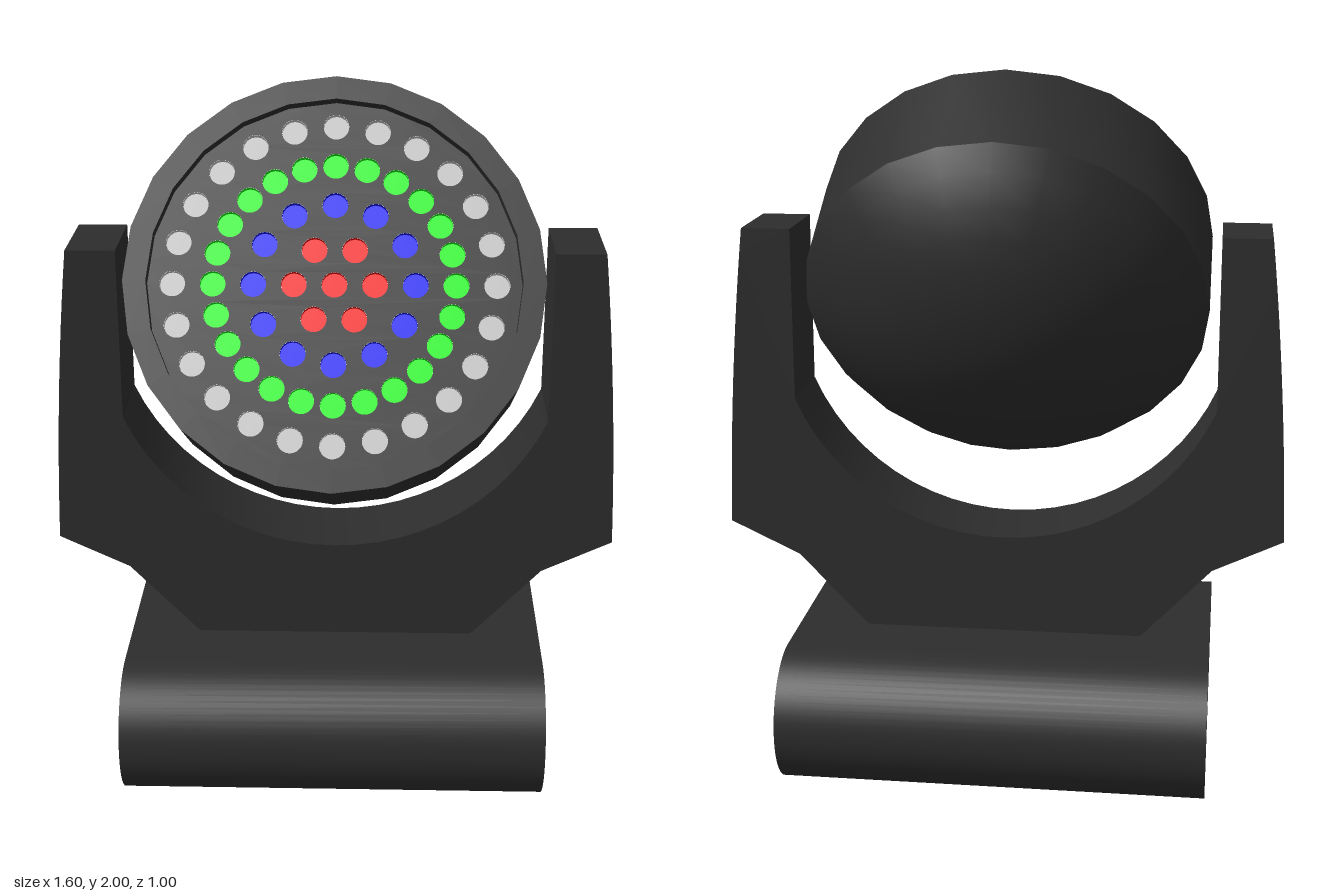
import * as THREE from 'three';
import { toCreasedNormals } from 'three/addons/utils/BufferGeometryUtils.js';

const paint = (color) => new THREE.MeshStandardMaterial({ color });

function addMesh(parent, name, geometry, material) {
  const mesh = new THREE.Mesh(geometry, material);
  mesh.name = name;
  parent.add(mesh);
  return mesh;
}

function lathe(points, segments) {
  const profile = points.map(([x, y]) => new THREE.Vector2(x, y));
  return toCreasedNormals(new THREE.LatheGeometry(profile, segments), 0.5);
}

function extrude(shape, depth, curveSegments) {
  const geometry = new THREE.ExtrudeGeometry(shape, { depth, curveSegments, bevelEnabled: false });
  geometry.translate(0, 0, -depth / 2);
  return toCreasedNormals(geometry, 0.4);
}

// Stadium section running along x
function baseGeometry() {
  const r = 0.195, flat = 0.305;
  const shape = new THREE.Shape();
  shape.absarc(flat, r, r, -Math.PI / 2, Math.PI / 2);
  shape.absarc(-flat, r, r, Math.PI / 2, Math.PI * 1.5);
  shape.closePath();
  return extrude(shape, 1.2, 16).rotateY(Math.PI / 2);
}

// Two arms joined by a round cradle
function yokeGeometry() {
  const R = 0.653, cy = 1.328;
  const a = Math.atan2(1.07 - cy, 0.6);
  const shape = new THREE.Shape();
  shape.moveTo(-0.4, 0.39);
  shape.lineTo(0.4, 0.39);
  shape.lineTo(0.6, 0.6);
  shape.lineTo(0.8, 0.695);
  shape.quadraticCurveTo(0.787, 1.13, 0.738, 1.56);
  shape.lineTo(0.6, 1.56);
  shape.lineTo(0.6, 1.07);
  shape.absarc(0, cy, R, a, -Math.PI - a, true);
  shape.lineTo(-0.6, 1.56);
  shape.lineTo(-0.738, 1.56);
  shape.quadraticCurveTo(-0.787, 1.13, -0.8, 0.695);
  shape.lineTo(-0.6, 0.6);
  shape.closePath();
  return extrude(shape, 0.255, 12);
}

export function createModel() {
  const model = new THREE.Group();
  model.name = 'movingHeadLight';
  const dark = paint(0x2d2d2d);

  addMesh(model, 'base', baseGeometry(), dark);
  addMesh(model, 'yoke', yokeGeometry(), dark);

  // Head is built facing +y, then tilted forward and up
  const head = new THREE.Group();
  head.name = 'head';
  head.position.set(0, 1.505, 0.215);
  head.rotation.x = Math.PI / 3;
  model.add(head);

  // Domed back, drum and recessed rim
  const radius = 0.571, depth = 0.323, domeR = 0.7, recess = 0.04;
  const rimAngle = Math.asin(radius / domeR);
  const domeCentre = -depth + domeR * Math.cos(rimAngle);
  const profile = [];
  for (let i = 0; i <= 8; i++) {
    const t = rimAngle * i / 8;
    profile.push([domeR * Math.sin(t), domeCentre - domeR * Math.cos(t)]);
  }
  profile.push([radius, 0], [0.508, 0], [0.508, -recess]);
  addMesh(head, 'housing', lathe(profile, 24), dark);

  // Lamp rings: name, count, ring radius, colour
  const rings = [
    ['redLamp', 1, 0, 0xff1010],
    ['redLamp', 6, 0.11, 0xff1010],
    ['blueLamp', 12, 0.22, 0x1010ff],
    ['greenLamp', 24, 0.33, 0x10ff10],
    ['whiteLamp', 24, 0.44, 0xcccccc],
  ];
  const lampR = 0.035, lampDepth = 0.02;
  const cup = lathe([[lampR, 0], [lampR, -lampDepth], [0, -lampDepth]], 16);
  const plate = new THREE.Shape();
  plate.absarc(0, 0, 0.508, 0, Math.PI * 2);

  for (const [name, count, ringR, color] of rings) {
    const material = paint(color);
    for (let i = 0; i < count; i++) {
      const t = i / count * Math.PI * 2;
      const x = ringR * Math.cos(t), y = ringR * Math.sin(t);
      const hole = new THREE.Path();
      hole.absarc(x, y, lampR, 0, Math.PI * 2, true);
      plate.holes.push(hole);
      addMesh(head, name, cup, material).position.set(x, -recess, -y);
    }
  }

  // Perforated plate around the lamps
  const plateGeometry = new THREE.ShapeGeometry(plate, 24);
  plateGeometry.rotateX(-Math.PI / 2).translate(0, -recess, 0);
  addMesh(head, 'lampPlate', plateGeometry, dark);

  return model;
}
